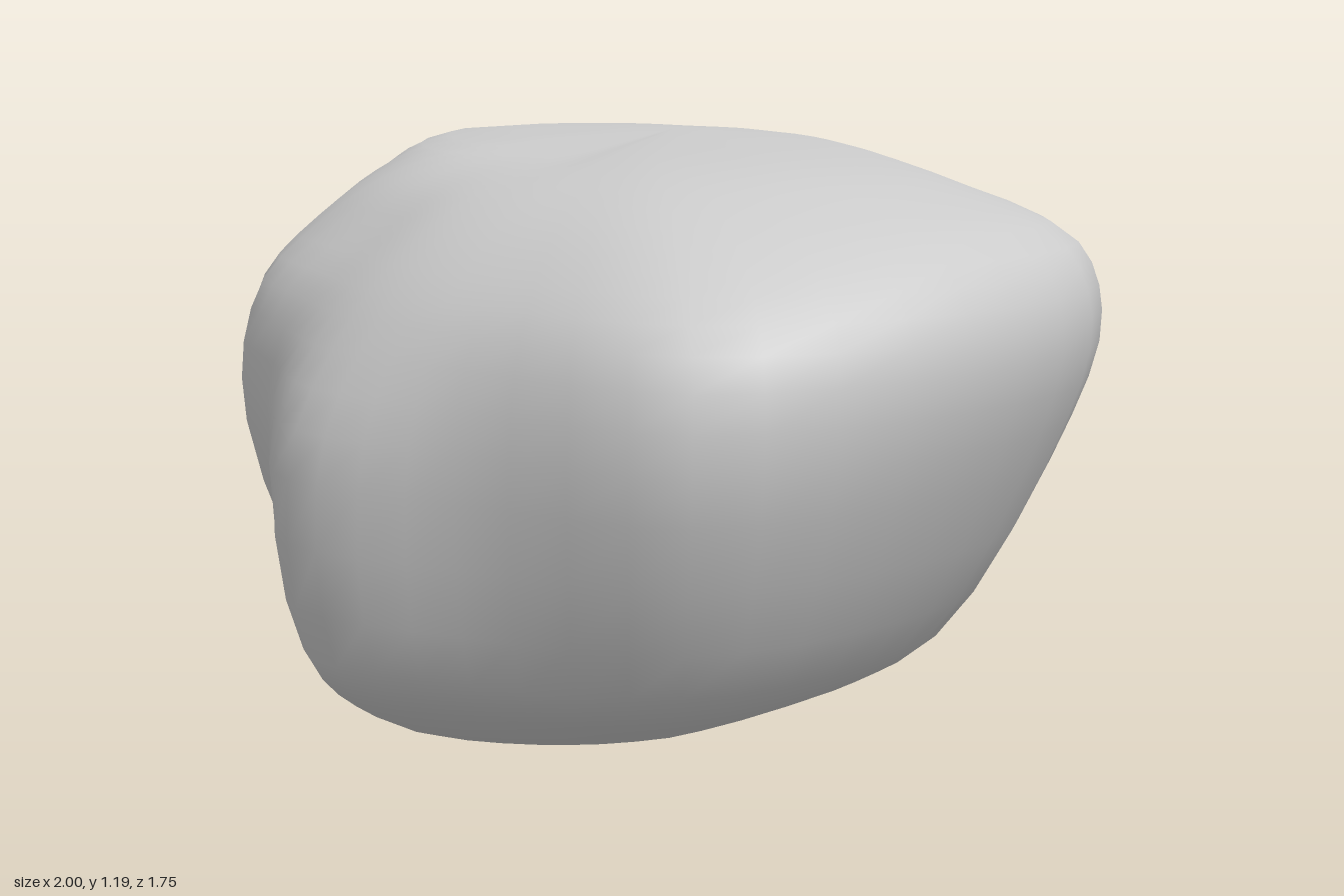
import * as THREE from 'three';
import { mergeVertices } from 'three/addons/utils/BufferGeometryUtils.js';

// Directions of the boulder's ridges and hollows, in degrees from +x through +z (front)
const angles = [0, 33, 62, 90, 117, 146, 180, 210, 228, 249, 288, 327];

// Horizontal sections: height, one radius per direction, optional slope toward +z
const sections = [
  { y: 0.05, r: [0.30, 0.44, 0.49, 0.52, 0.34, 0.27, 0.28, 0.27, 0.26, 0.25, 0.20, 0.24], slope: -0.085 },
  { y: 0.10, r: [0.53, 0.65, 0.67, 0.71, 0.50, 0.56, 0.58, 0.51, 0.47, 0.42, 0.37, 0.46], slope: -0.03 },
  { y: 0.20, r: [0.71, 0.84, 0.80, 0.83, 0.67, 0.74, 0.74, 0.68, 0.63, 0.58, 0.50, 0.64] },
  { y: 0.60, r: [0.94, 1.04, 0.86, 0.87, 0.79, 0.91, 0.94, 0.87, 0.83, 0.85, 0.68, 0.88] },
  { y: 0.85, r: [0.99, 1.02, 0.79, 0.735, 0.73, 0.88, 1.00, 0.92, 0.89, 0.935, 0.75, 0.96] },
  { y: 1.00, r: [0.91, 0.84, 0.64, 0.58, 0.57, 0.74, 0.90, 0.87, 0.84, 0.88, 0.72, 0.91] },
  { y: 1.10, r: [0.67, 0.59, 0.45, 0.40, 0.42, 0.59, 0.80, 0.77, 0.73, 0.70, 0.60, 0.67] },
  { y: 1.155, r: [0.40, 0.30, 0.20, 0.15, 0.20, 0.43, 0.71, 0.68, 0.62, 0.58, 0.46, 0.42] },
];
const bottom = new THREE.Vector3(0.03, 0.04, 0.08);
const top = new THREE.Vector3(-0.15, 1.188, -0.2);
const AROUND = 48, UP = 30;

// Closed smooth loop through one section
function sectionLoop({ y, r, slope = 0 }) {
  const points = r.map((radius, i) => {
    const a = THREE.MathUtils.degToRad(angles[i]);
    const z = Math.sin(a) * radius;
    return new THREE.Vector3(Math.cos(a) * radius, y + slope * z, z);
  });
  const curve = new THREE.CatmullRomCurve3(points, true, 'centripetal');
  return Array.from({ length: AROUND }, (_, i) => curve.getPoint(i / AROUND));
}

// Skin the sections with smooth columns running from pole to pole
function boulderGeometry() {
  const loops = sections.map(sectionLoop);
  const positions = [], index = [];
  for (let i = 0; i < AROUND; i++) {
    const column = new THREE.CatmullRomCurve3(
      [bottom, ...loops.map((loop) => loop[i]), top], false, 'centripetal');
    for (let j = 0; j <= UP; j++) positions.push(...column.getPoint(j / UP).toArray());
  }
  const id = (i, j) => (i % AROUND) * (UP + 1) + j;
  for (let i = 0; i < AROUND; i++) {
    for (let j = 0; j < UP; j++) {
      const a = id(i, j), b = id(i + 1, j), c = id(i, j + 1), d = id(i + 1, j + 1);
      if (j > 0) index.push(a, c, b);
      if (j < UP - 1) index.push(b, c, d);
    }
  }
  const geometry = new THREE.BufferGeometry();
  geometry.setAttribute('position', new THREE.Float32BufferAttribute(positions, 3));
  geometry.setIndex(index);
  const welded = mergeVertices(geometry, 1e-4);
  welded.computeVertexNormals();
  return welded;
}

export function createModel() {
  const group = new THREE.Group();
  group.name = 'rock';
  const geometry = boulderGeometry();

  // Stand on the ground, centred
  geometry.computeBoundingBox();
  const { min, max } = geometry.boundingBox;
  geometry.translate(-(min.x + max.x) / 2, -min.y, -(min.z + max.z) / 2);

  const boulder = new THREE.Mesh(geometry, new THREE.MeshStandardMaterial({ color: 0xcccccc }));
  boulder.name = 'boulder';
  group.add(boulder);
  return group;
}
